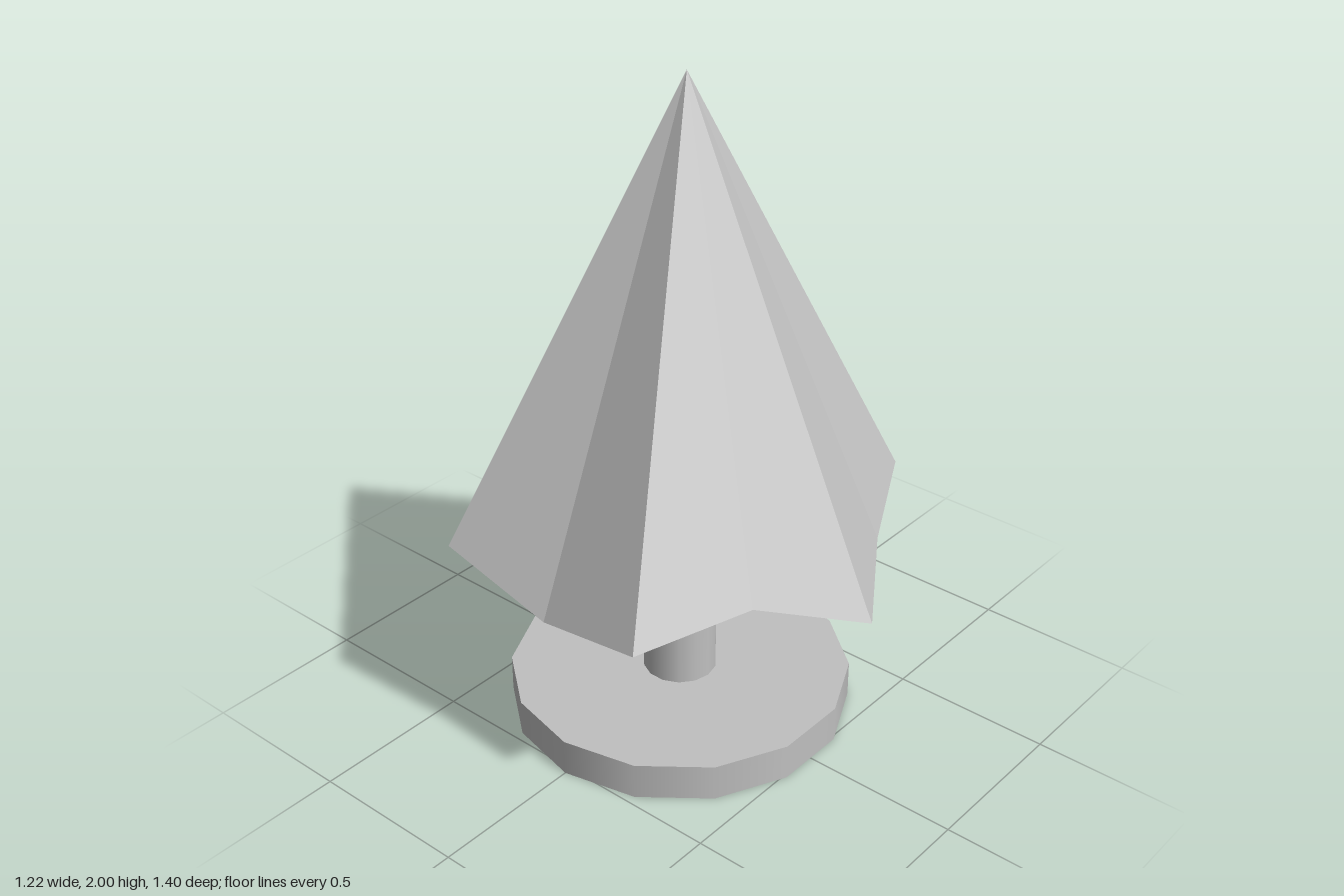
import * as THREE from 'three';

const SIDES = 14;

function named(geometry, material, name) {
  const mesh = new THREE.Mesh(geometry, material);
  mesh.name = name;
  return mesh;
}

// Open pleated cone: twelve rim points alternate between corners and folds,
// and the hem climbs in steps of three; the tip leans off centre.
function canopyGeometry() {
  const tip = [0.075, 2, -0.04];
  const rim = (k) => {
    const i = k % 12;
    const angle = (i * Math.PI) / 6;
    const radius = i % 2 ? 0.588 : 0.702;
    return [radius * Math.sin(angle), 0.577 + 0.058 * (i % 3), radius * Math.cos(angle)];
  };
  const positions = [];
  for (let k = 0; k < 12; k++) positions.push(...tip, ...rim(k), ...rim(k + 1));
  const geometry = new THREE.BufferGeometry();
  geometry.setAttribute('position', new THREE.Float32BufferAttribute(positions, 3));
  geometry.computeVertexNormals();
  return geometry;
}

export function createModel() {
  const model = new THREE.Group();
  model.name = 'tree';

  const grey = new THREE.MeshStandardMaterial({ color: 0xc0c0c0 });
  grey.name = 'grey';
  grey.side = THREE.DoubleSide;

  // Round base plate, with corners on the x axis
  const base = named(new THREE.CylinderGeometry(0.524, 0.524, 0.115, SIDES), grey, 'base');
  base.rotation.y = Math.PI / 2;
  base.position.y = 0.0575;

  // Trunk
  const trunk = named(new THREE.CylinderGeometry(0.113, 0.113, 0.46, SIDES), grey, 'trunk');
  trunk.position.y = 0.345;

  // Canopy; unshared corners keep each pleat flat
  const canopy = named(canopyGeometry(), grey, 'canopy');

  model.add(base, trunk, canopy);
  return model;
}
